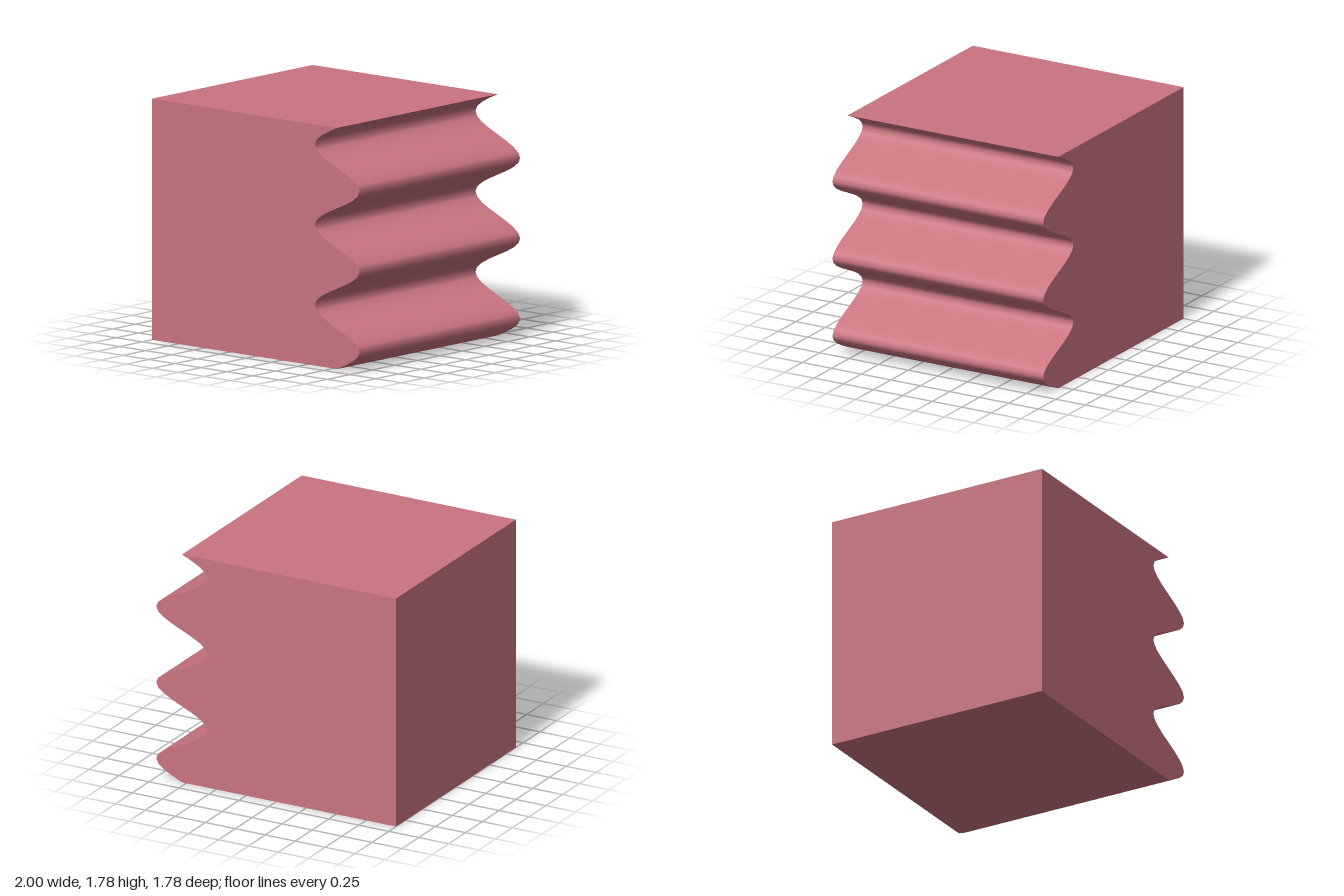
import * as THREE from 'three';

const HEIGHT = 1.785, DEPTH = 1.785;
const MID = 0.785, AMP = 0.215;          // wavy face: centre line and amplitude
const WAVES = 3, STEPS = 16;             // number of waves, segments per wave
const K = (WAVES * 2 * Math.PI) / HEIGHT;

export function createModel() {
  const group = new THREE.Group();
  group.name = 'corrugatedBlock';

  // Block outline: three straight sides and one sine-shaped side
  const shape = new THREE.Shape();
  shape.moveTo(-1, 0);
  for (let i = 0; i <= WAVES * STEPS; i++) {
    const y = (HEIGHT * i) / (WAVES * STEPS);
    shape.lineTo(MID + AMP * Math.sin(K * y), y);
  }
  shape.lineTo(-1, HEIGHT);
  shape.closePath();

  const geometry = new THREE.ExtrudeGeometry(shape, { depth: DEPTH, bevelEnabled: false });
  geometry.translate(0, 0, -DEPTH / 2);

  // Smooth normals along the waves only; the flat faces keep sharp edges
  const position = geometry.attributes.position, normal = geometry.attributes.normal;
  const n = new THREE.Vector3();
  for (let i = 0; i < position.count; i++) {
    if (normal.getX(i) < 0.1) continue;
    n.set(1, -AMP * K * Math.cos(K * position.getY(i)), 0).normalize();
    normal.setXYZ(i, n.x, n.y, n.z);
  }

  const block = new THREE.Mesh(geometry, new THREE.MeshStandardMaterial({ color: 0xc9747f }));
  block.name = 'wavyBlock';
  group.add(block);
  return group;
}
